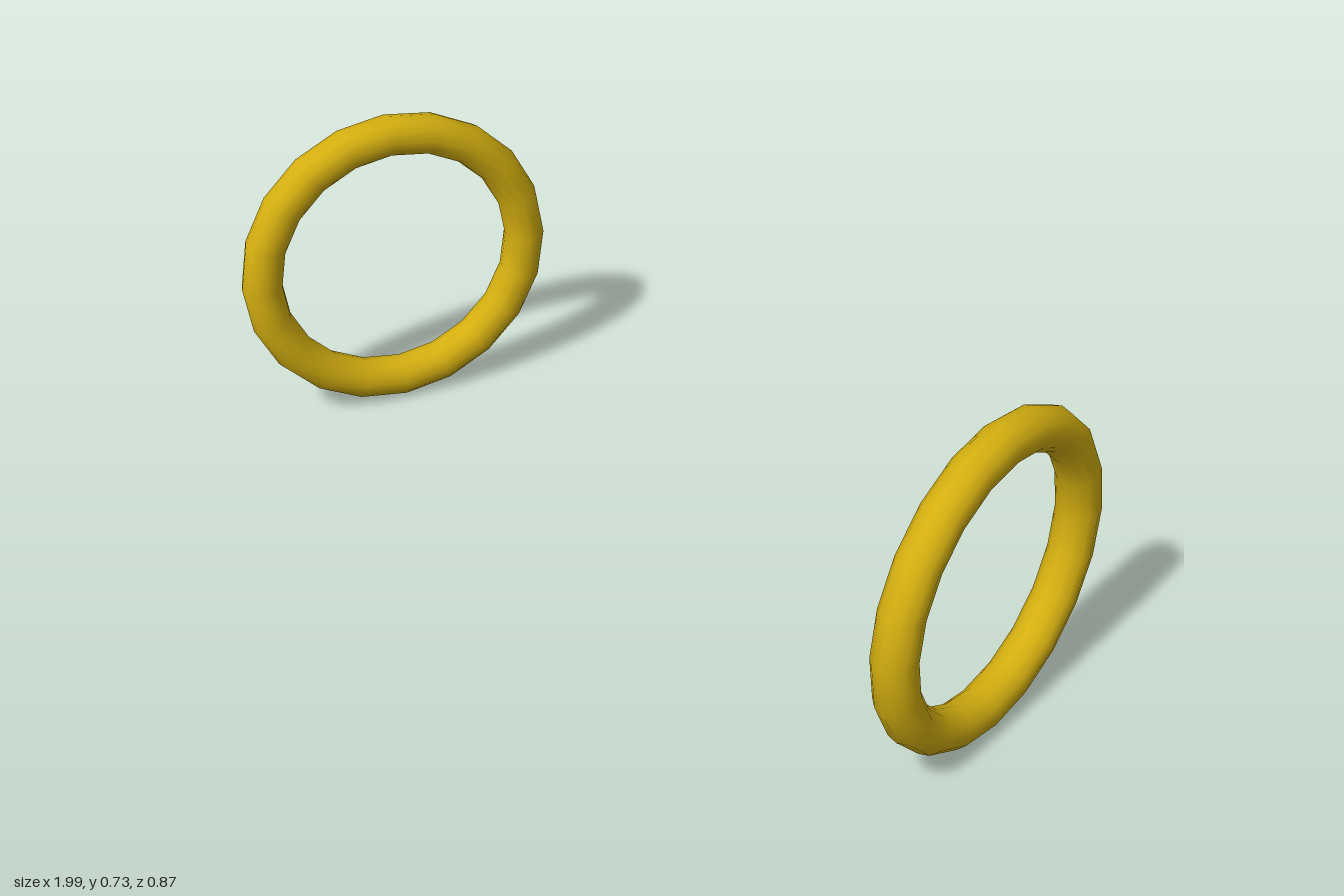
import * as THREE from 'three';

export function createModel() {
  const group = new THREE.Group();
  const gold = new THREE.MeshStandardMaterial({ color: 0xd4af10 });
  const hoop = new THREE.TorusGeometry(0.32, 0.047, 12, 20);

  // Two upright hoops, each turned slightly about the vertical
  const addHoop = (name, x, z, degrees) => {
    const mesh = new THREE.Mesh(hoop, gold);
    mesh.name = name;
    mesh.position.set(x, 0.368, z);
    mesh.rotation.y = THREE.MathUtils.degToRad(degrees);
    group.add(mesh);
  };
  addHoop('rightHoop', -0.862, 0.083, 73.6);
  addHoop('leftHoop', 0.893, -0.075, 100.3);

  return group;
}
